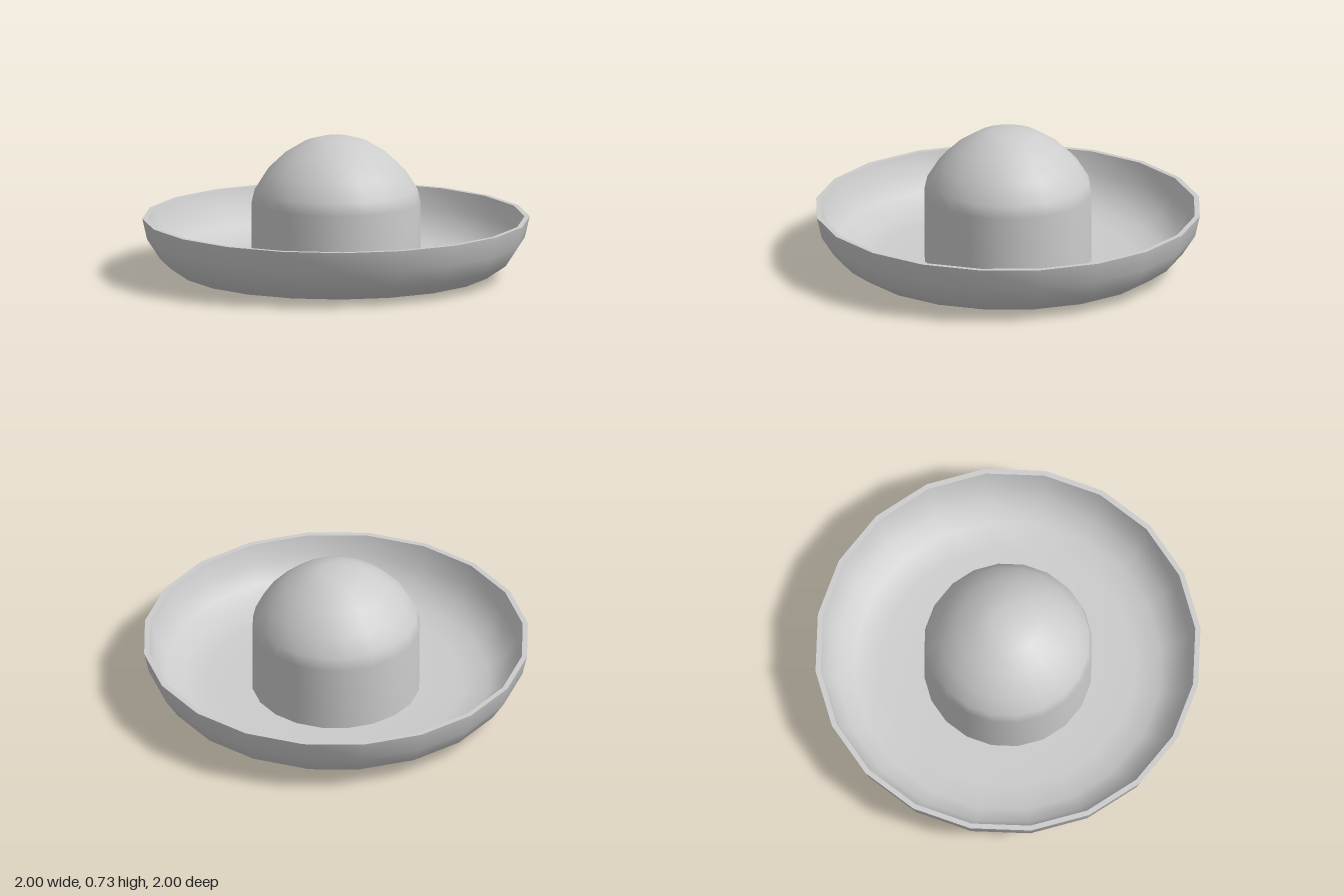
import * as THREE from 'three';

const SIDES = 20;

// Turned part from [radius, height] pairs
function turned(name, profile, flatShading = false) {
  const points = profile.map(([r, y]) => new THREE.Vector2(r, y));
  const material = new THREE.MeshStandardMaterial({ color: 0xcccccc, flatShading });
  const mesh = new THREE.Mesh(new THREE.LatheGeometry(points, SIDES), material);
  mesh.name = name;
  return mesh;
}

export function createModel() {
  const hat = new THREE.Group();
  hat.name = 'wideBrimmedHat';

  // Brim: underside curving up to the edge, thin lip, then the upper surface
  const brim = new THREE.Group();
  brim.name = 'brim';
  brim.add(
    turned('brimUnderside', [[0.41, 0], [0.67, 0.003], [0.81, 0.026], [0.91, 0.095], [0.975, 0.195], [1, 0.305]]),
    turned('brimLip', [[1, 0.305], [0.973, 0.305]]),
    turned('brimTop', [[0.973, 0.305], [0.945, 0.205], [0.885, 0.12], [0.795, 0.06], [0.66, 0.04], [0.43, 0.037]])
  );

  // Crown: straight band with a pointed dome, hollow inside
  const crown = new THREE.Group();
  crown.name = 'crown';
  crown.add(
    turned('crownOutside', [[0.435, 0.037], [0.435, 0.39], [0.42, 0.455], [0.36, 0.55],
      [0.27, 0.635], [0.165, 0.7], [0.08, 0.725], [0, 0.727]]),
    turned('crownInside', [[0, 0.695], [0.08, 0.692], [0.155, 0.67], [0.25, 0.61],
      [0.34, 0.53], [0.4, 0.445], [0.415, 0.385], [0.41, 0]], true)
  );

  hat.add(brim, crown);
  return hat;
}
